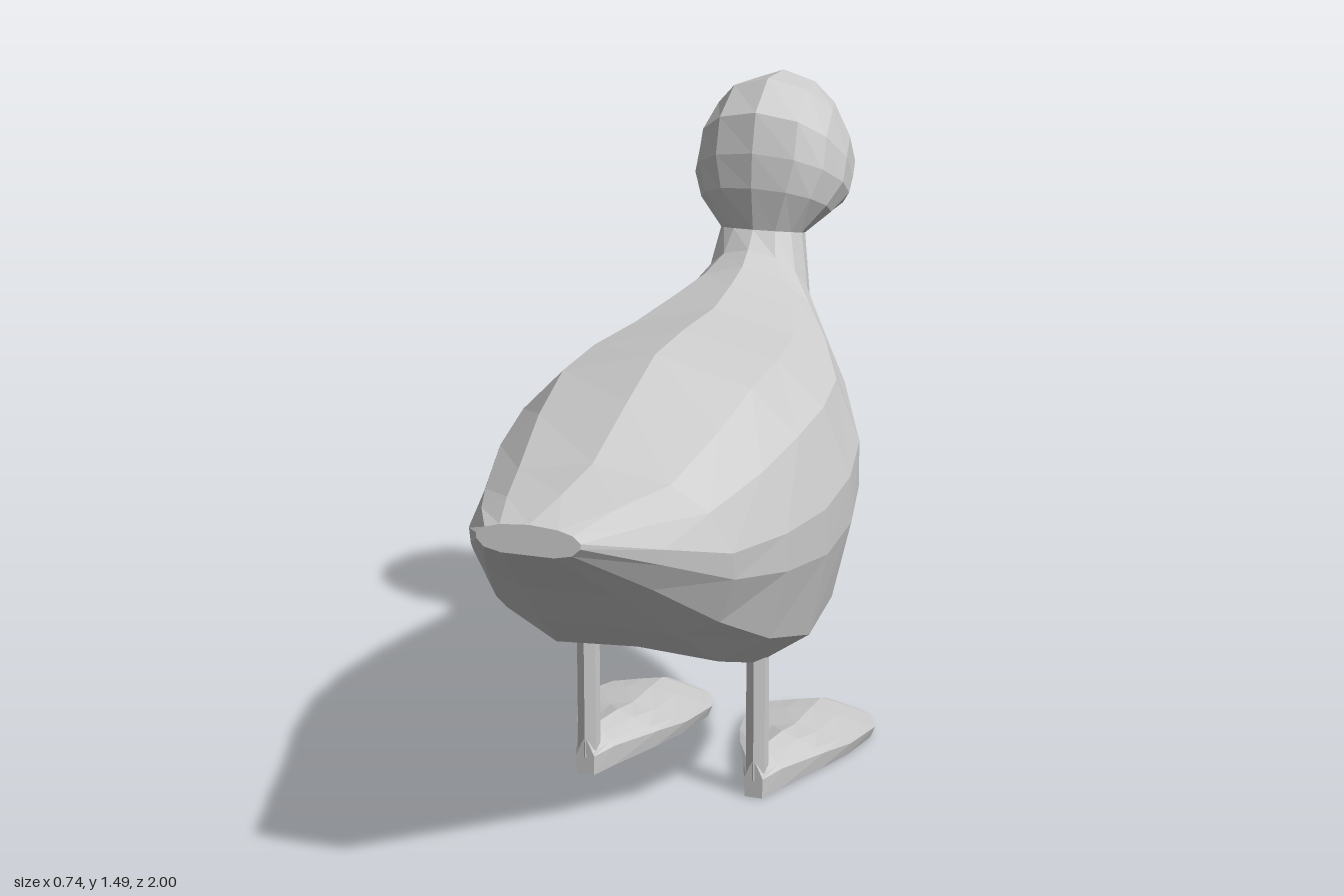
import * as THREE from 'three';

const material = new THREE.MeshStandardMaterial({ color: 0xcccccc, flatShading: true });

// Half cross-sections from top to bottom: [share of half width, share of height]
const PLUMP = [[0, 1], [0.58, 0.92], [0.85, 0.78], [1, 0.55], [1, 0.4], [0.87, 0.12], [0.54, 0], [0, 0.02]];
const ROUND = [0, 30, 55, 80, 105, 130, 155, 180].map((deg) => {
  const a = THREE.MathUtils.degToRad(deg);
  return [Math.sin(a), 0.5 + 0.5 * Math.cos(a)];
});
const WEB = [[0, 1], [0.4, 0.82], [0.8, 0.6], [1, 0.5], [0.93, 0], [0, 0]];

const blend = (t) => PLUMP.map(([u, v], i) => [
  THREE.MathUtils.lerp(u, ROUND[i][0], t),
  THREE.MathUtils.lerp(v, ROUND[i][1], t),
]);

// Skin over rings [topZ, topY, bottomZ, bottomY, halfWidth, roundness], running towards -z
function loft(name, rings, capStart, capEnd, fixedSection) {
  const positions = [];
  const index = [];
  let count = 0;
  for (const [tz, ty, bz, by, w, roundness] of rings) {
    const half = fixedSection || blend(roundness);
    const mirrored = half.slice(1, -1).reverse().map(([u, v]) => [-u, v]);
    const section = [...half, ...mirrored];
    count = section.length;
    for (const [u, v] of section) {
      positions.push(u * w, by + (ty - by) * v, bz + (tz - bz) * v);
    }
  }
  for (let r = 0; r < rings.length - 1; r++) {
    for (let j = 0; j < count; j++) {
      const a = r * count + j;
      const b = r * count + ((j + 1) % count);
      index.push(a, b, a + count, b, b + count, a + count);
    }
  }
  const cap = (r, flip) => {
    const [tz, ty, bz, by] = rings[r];
    const centre = positions.length / 3;
    positions.push(0, (ty + by) / 2, (tz + bz) / 2);
    for (let j = 0; j < count; j++) {
      const a = r * count + j;
      const b = r * count + ((j + 1) % count);
      if (flip) index.push(centre, b, a);
      else index.push(centre, a, b);
    }
  };
  if (capStart) cap(0, true);
  if (capEnd) cap(rings.length - 1, false);

  const indexed = new THREE.BufferGeometry();
  indexed.setAttribute('position', new THREE.Float32BufferAttribute(positions, 3));
  indexed.setIndex(index);
  const geometry = indexed.toNonIndexed();
  geometry.computeVertexNormals();
  const mesh = new THREE.Mesh(geometry, material);
  mesh.name = name;
  return mesh;
}

// Tail, belly, breast and neck
const NECK_TOP = [-0.375, 1.15, -0.525, 1.12, 0.1, 1];
const BODY = [
  [0.99, 0.86, 1, 0.8, 0.11, 0.3],
  [0.82, 0.87, 0.78, 0.65, 0.21, 0.2],
  [0.65, 0.885, 0.57, 0.5, 0.29, 0.1],
  [0.45, 0.96, 0.4, 0.39, 0.345, 0],
  [0.28, 1.02, 0.18, 0.31, 0.37, 0],
  [0.1, 1.03, 0, 0.335, 0.37, 0.1],
  [-0.1, 1.03, -0.14, 0.39, 0.34, 0.3],
  [-0.22, 1.055, -0.33, 0.55, 0.26, 0.6],
  [-0.3, 1.08, -0.45, 0.69, 0.185, 0.8],
  [-0.34, 1.11, -0.5, 0.88, 0.125, 1],
  NECK_TOP,
];

// Skull, tilting forwards into the face
const FACE = [-0.77, 1.29, -0.81, 1.12, 0.08, 0.6];
const HEAD = [
  NECK_TOP,
  [-0.36, 1.25, -0.58, 1.135, 0.155, 0.9],
  [-0.365, 1.33, -0.66, 1.145, 0.183, 0.8],
  [-0.39, 1.42, -0.7, 1.145, 0.182, 0.8],
  [-0.48, 1.485, -0.74, 1.14, 0.168, 0.7],
  [-0.6, 1.485, -0.78, 1.13, 0.135, 0.6],
  [-0.69, 1.44, -0.79, 1.127, 0.105, 0.6],
  [-0.735, 1.37, -0.8, 1.125, 0.088, 0.6],
  FACE,
];

const BILL = [
  FACE,
  [-0.86, 1.23, -0.86, 1.105, 0.06, 0.6],
  [-0.94, 1.17, -0.93, 1.09, 0.045, 0.6],
  [-1, 1.13, -0.99, 1.1, 0.025, 0.6],
];

// Webbed foot, from heel to toes
const FOOT = [
  [0.205, 0.09, 0.205, 0, 0.022],
  [0.14, 0.098, 0.14, 0, 0.045],
  [0, 0.08, 0, 0, 0.1],
  [-0.1, 0.06, -0.1, 0, 0.135],
  [-0.22, 0.055, -0.22, 0, 0.157],
  [-0.3, 0.05, -0.3, 0, 0.125],
  [-0.34, 0.036, -0.34, 0, 0.08],
];

export function createModel() {
  const bird = new THREE.Group();
  bird.name = 'duck';
  bird.add(
    loft('body', BODY, true, false),
    loft('head', HEAD, false, false),
    loft('bill', BILL, false, true),
  );

  // Thin legs with flat webbed feet, one per side
  for (const side of [-1, 1]) {
    const limb = new THREE.Group();
    limb.name = side < 0 ? 'leftLeg' : 'rightLeg';
    const shank = new THREE.Mesh(new THREE.CylinderGeometry(0.025, 0.025, 0.32, 6), material);
    shank.name = 'shank';
    shank.scale.z = 1.15;
    shank.position.set(0, 0.2, 0.178);
    limb.add(shank, loft('foot', FOOT, true, true, WEB));
    limb.position.x = side * 0.2;
    bird.add(limb);
  }
  return bird;
}
